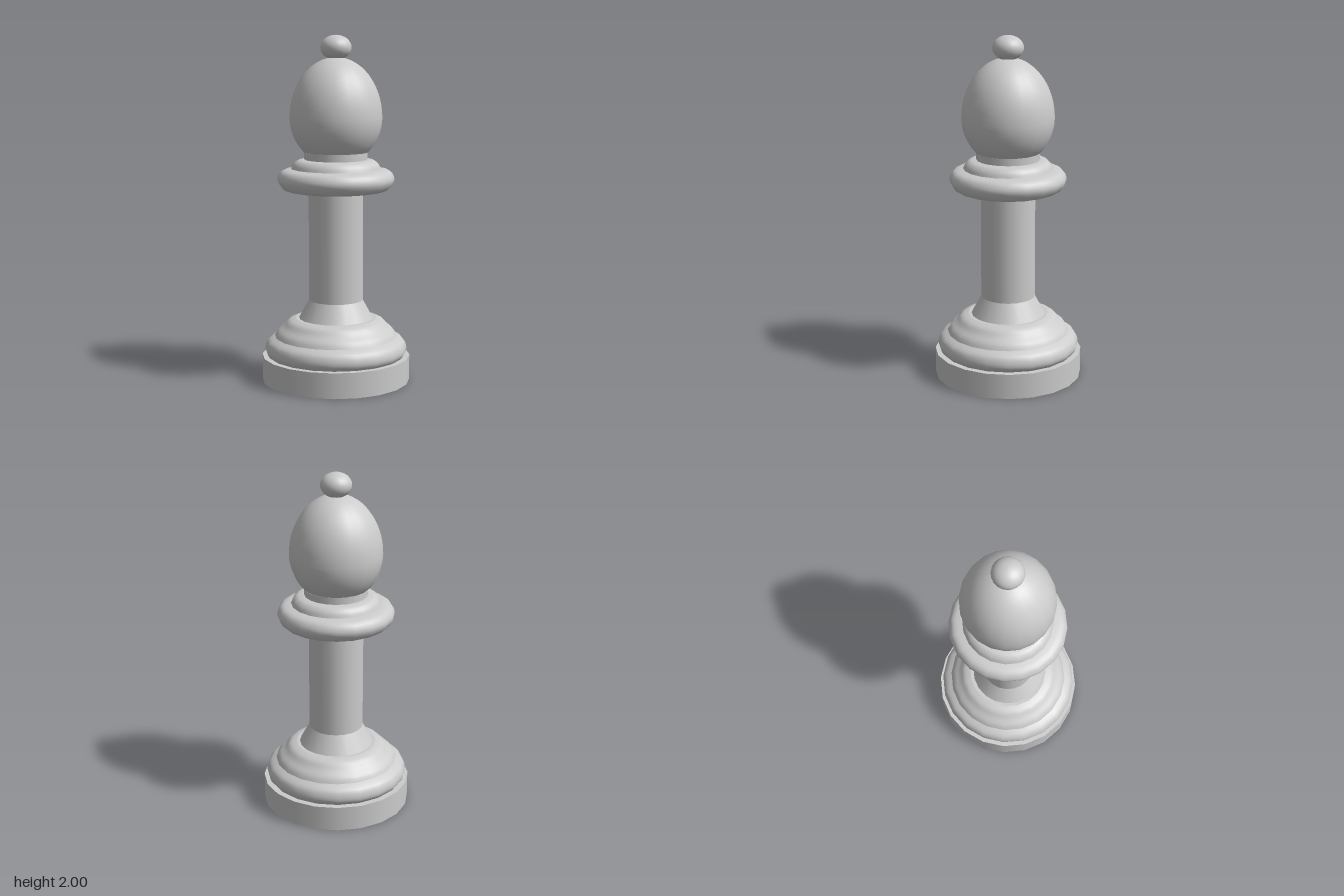
import * as THREE from 'three';

const SIDES = 20;
const material = new THREE.MeshStandardMaterial({ color: 0xcccccc, side: THREE.DoubleSide });

const points = (pairs) => pairs.map(([r, y]) => new THREE.Vector2(r, y));
// Smooth rounded moulding through a few points
const curve = (pairs, n = 12) => new THREE.SplineCurve(points(pairs)).getPoints(n);
// Part of an ellipse on the axis, from angle a to b (0 = equator, PI/2 = top)
function arc(r, ry, y, a, b, n = 12) {
  return Array.from({ length: n + 1 }, (_, i) => {
    const t = a + ((b - a) * i) / n;
    return new THREE.Vector2(Math.max(0, r * Math.cos(t)), y + ry * Math.sin(t));
  });
}

export function createModel() {
  const group = new THREE.Group();

  // Each part is one or more turned strips; separate strips keep a sharp edge
  function turn(name, ...strips) {
    const part = new THREE.Group();
    part.name = name;
    for (const strip of strips) {
      part.add(new THREE.Mesh(new THREE.LatheGeometry(strip, SIDES), material));
    }
    group.add(part);
  }

  // Plinth
  turn('plinth',
    points([[0, 0], [0.43, 0]]),
    points([[0.43, 0], [0.43, 0.147]]),
    points([[0.43, 0.147], [0.38, 0.147]]));

  // Stepped base mouldings
  turn('lowerBaseRing',
    curve([[0.395, 0.147], [0.41, 0.17], [0.411, 0.2], [0.395, 0.235], [0.355, 0.26]]));
  turn('upperBaseRing',
    curve([[0.357, 0.26], [0.34, 0.29], [0.305, 0.32], [0.275, 0.352], [0.235, 0.366]]),
    points([[0.235, 0.366], [0.2, 0.366]]));

  // Flared foot and shaft
  turn('shaftFoot', points([[0.215, 0.366], [0.157, 0.473]]));
  turn('shaft', points([[0.157, 0.473], [0.157, 1.112]]));

  // Collar
  turn('collar',
    points([[0.15, 1.11], [0.25, 1.11]]),
    curve([[0.25, 1.11], [0.305, 1.123], [0.336, 1.175], [0.312, 1.225], [0.25, 1.241]], 16));
  turn('upperCollar',
    curve([[0.257, 1.24], [0.245, 1.266], [0.222, 1.286], [0.19, 1.293]]),
    points([[0.19, 1.293], [0.17, 1.293]]));
  turn('neck', points([[0.182, 1.292], [0.182, 1.336]]));

  // Egg-shaped head: shallower curve below its widest point than above
  turn('head',
    points([[0.16, 1.335], [0.186, 1.335]]),
    [...arc(0.265, 0.273, 1.53, -0.795, 0, 8), ...arc(0.265, 0.345, 1.53, 0, Math.PI / 2, 16).slice(1)]);

  // Finial ball
  turn('finial', arc(0.089, 0.071, 1.929, -Math.PI / 2, Math.PI / 2, 16));

  return group;
}
